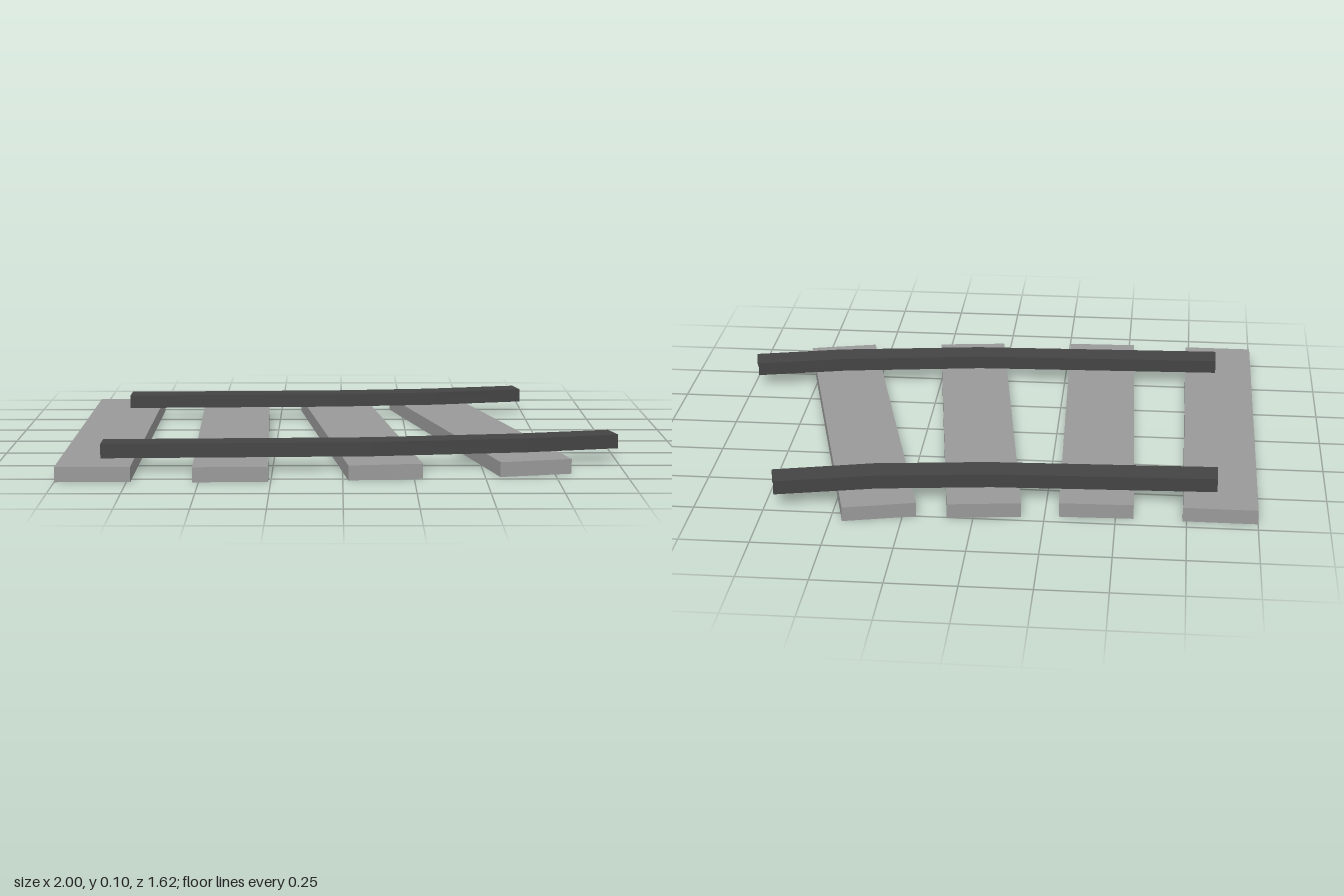
import * as THREE from 'three';

const TIE = { width: 0.263, height: 0.053, length: 1.508 };
const RAIL_TOP = 0.104;

const tieMaterial = new THREE.MeshStandardMaterial({ color: 0x999999, side: THREE.DoubleSide, flatShading: true });
const railMaterial = new THREE.MeshStandardMaterial({ color: 0x444444, side: THREE.DoubleSide, flatShading: true });

// Cross tie: a thin box shell, open underneath
function makeTie(x, z, angle) {
  const geometry = new THREE.BoxGeometry(TIE.width, TIE.height, TIE.length);
  const index = Array.from(geometry.index.array);
  index.splice(18, 6); // drop the bottom face
  geometry.setIndex(index);
  geometry.clearGroups();
  const tie = new THREE.Mesh(geometry, tieMaterial);
  tie.position.set(x, TIE.height / 2, z);
  tie.rotation.y = angle;
  return tie;
}

// Rail: an inverted channel, open below and at both ends, swept between two plan edges
function makeRail(backEdge, frontEdge) {
  const sections = backEdge.map(([bx, bz], i) => {
    const [fx, fz] = frontEdge[i];
    return [
      [bx, TIE.height, bz],
      [bx, RAIL_TOP, bz],
      [fx, RAIL_TOP, fz],
      [fx, TIE.height, fz],
    ];
  });
  const positions = [];
  for (let i = 0; i < sections.length - 1; i++) {
    for (let k = 0; k < 3; k++) {
      const a = sections[i][k], b = sections[i][k + 1];
      const c = sections[i + 1][k + 1], d = sections[i + 1][k];
      positions.push(...a, ...b, ...c, ...a, ...c, ...d);
    }
  }
  const geometry = new THREE.BufferGeometry();
  geometry.setAttribute('position', new THREE.Float32BufferAttribute(positions, 3));
  geometry.computeVertexNormals();
  return new THREE.Mesh(geometry, railMaterial);
}

export function createModel() {
  const model = new THREE.Group();
  model.name = 'curvedTrack';

  // Four ties fanning progressively around the bend: x, z, angle
  const ties = [
    [-0.868, 0.049, 0],
    [-0.411, 0.049, 0.028],
    [0.056, 0.011, 0.125],
    [0.505, -0.048, 0.236],
  ];
  ties.forEach(([x, z, angle], i) => {
    const tie = makeTie(x, z, angle);
    tie.name = `tie${i + 1}`;
    model.add(tie);
  });

  // Inner rail of the bend
  const backRail = makeRail(
    [[-0.857, -0.569], [-0.05, -0.601], [0.357, -0.649], [0.714, -0.73]],
    [[-0.857, -0.467], [-0.03, -0.499], [0.38, -0.547], [0.737, -0.631]],
  );
  backRail.name = 'backRail';

  // Outer rail of the bend
  const frontRail = makeRail(
    [[-0.857, 0.537], [0.095, 0.5], [0.635, 0.425], [0.975, 0.346]],
    [[-0.857, 0.638], [0.11, 0.601], [0.66, 0.526], [1.0, 0.446]],
  );
  frontRail.name = 'frontRail';

  model.add(backRail, frontRail);
  return model;
}
